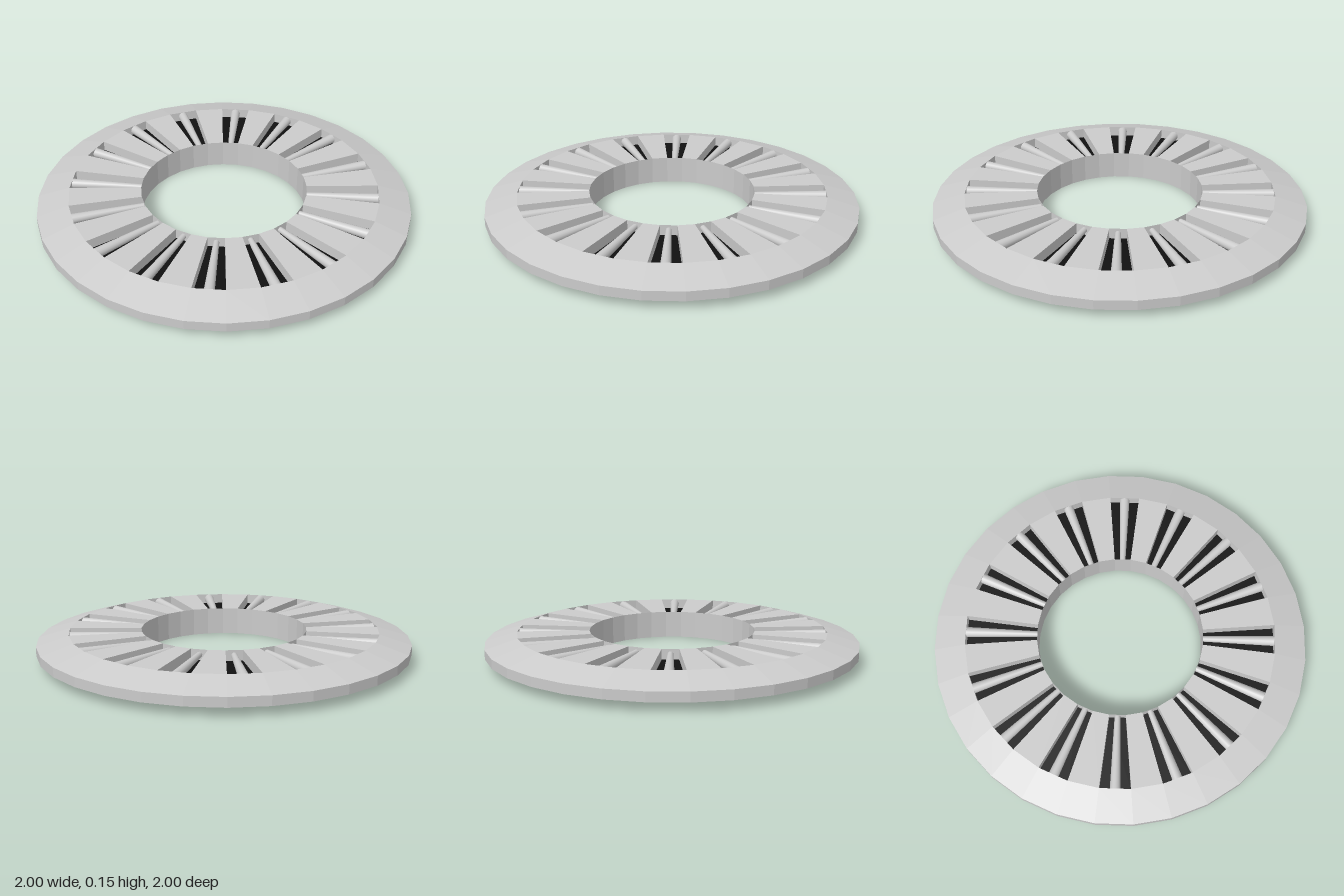
import * as THREE from 'three';

const SLOTS = 16, STEP = Math.PI / SLOTS;      // pocket and land each span one step
const R_IN = 0.445, R_OUT = 0.83;              // pocket ring
const TOP = 0.15, FLOOR = 0.095;

const grey = new THREE.MeshStandardMaterial({ color: 0xcccccc, flatShading: true });
const wallGrey = new THREE.MeshStandardMaterial({ color: 0xcccccc, flatShading: true, side: THREE.DoubleSide });
const smoothGrey = new THREE.MeshStandardMaterial({ color: 0xcccccc });
const dark = new THREE.MeshStandardMaterial({ color: 0x111111, flatShading: true });

const polar = (a, r, y) => [r * Math.cos(a), y, -r * Math.sin(a)];

// Mesh made of four-cornered faces
function quadMesh(name, quads, material) {
  const pos = [];
  for (const [a, b, c, d] of quads) pos.push(...a, ...b, ...c, ...a, ...c, ...d);
  const g = new THREE.BufferGeometry();
  g.setAttribute('position', new THREE.Float32BufferAttribute(pos, 3));
  g.computeVertexNormals();
  const mesh = new THREE.Mesh(g, material);
  mesh.name = name;
  return mesh;
}

// Flat ring sector facing up
const sector = (a0, a1, y) => [
  polar(a0, R_IN, y), polar(a0, R_OUT, y), polar(a1, R_OUT, y), polar(a1, R_IN, y),
];

export function createModel() {
  const model = new THREE.Group();
  model.name = 'thrustBearing';

  // Bevelled outer shell, underside and bore
  const profile = [[R_IN, TOP], [R_IN, 0], [R_OUT, 0], [1, 0.05], [1, 0.1], [R_OUT, TOP]]
    .map(([r, y]) => new THREE.Vector2(r, y));
  const ring = new THREE.Mesh(new THREE.LatheGeometry(profile, SLOTS * 2), grey);
  ring.name = 'ringBody';
  model.add(ring);

  // Lands, pocket walls and pocket floors
  const lands = [], walls = [], floors = [];
  for (let i = 0; i < SLOTS; i++) {
    const a0 = 2 * i * STEP, a1 = a0 + STEP;
    lands.push(sector(a1, a1 + STEP, TOP));
    floors.push(sector(a0, a1, FLOOR));
    const low = sector(a0, a1, FLOOR), high = sector(a0, a1, TOP);
    for (let k = 0; k < 4; k++) {
      const n = (k + 1) % 4;
      // the bore already closes the inner end from outside, so this one faces into the pocket
      if (k < 3) walls.push([low[k], high[k], high[n], low[n]]);
    }
  }
  model.add(quadMesh('lands', lands, grey));
  model.add(quadMesh('pocketWalls', walls, wallGrey));
  model.add(quadMesh('pocketFloors', floors, dark));

  // Inner ends of the pockets, facing outward from the axis
  const ends = floors.map(([a, , , d]) => [
    a, d, [d[0], TOP, d[2]], [a[0], TOP, a[2]],
  ]);
  model.add(quadMesh('pocketInnerEnds', ends, grey));

  // Tapered rollers
  const inner = R_IN * Math.cos(STEP / 2), outer = R_OUT * Math.cos(STEP / 2);
  const rollerGeo = new THREE.CylinderGeometry(0.027, 0.015, outer - inner, 16);
  rollerGeo.rotateZ(-Math.PI / 2);             // wide end outward along +x
  rollerGeo.translate((inner + outer) / 2, 0.1225, 0);
  const rollers = new THREE.Group();
  rollers.name = 'rollers';
  for (let i = 0; i < SLOTS; i++) {
    const roller = new THREE.Mesh(rollerGeo, smoothGrey);
    roller.name = 'roller';
    roller.rotation.y = (2 * i + 0.5) * STEP;
    rollers.add(roller);
  }
  model.add(rollers);
  return model;
}
